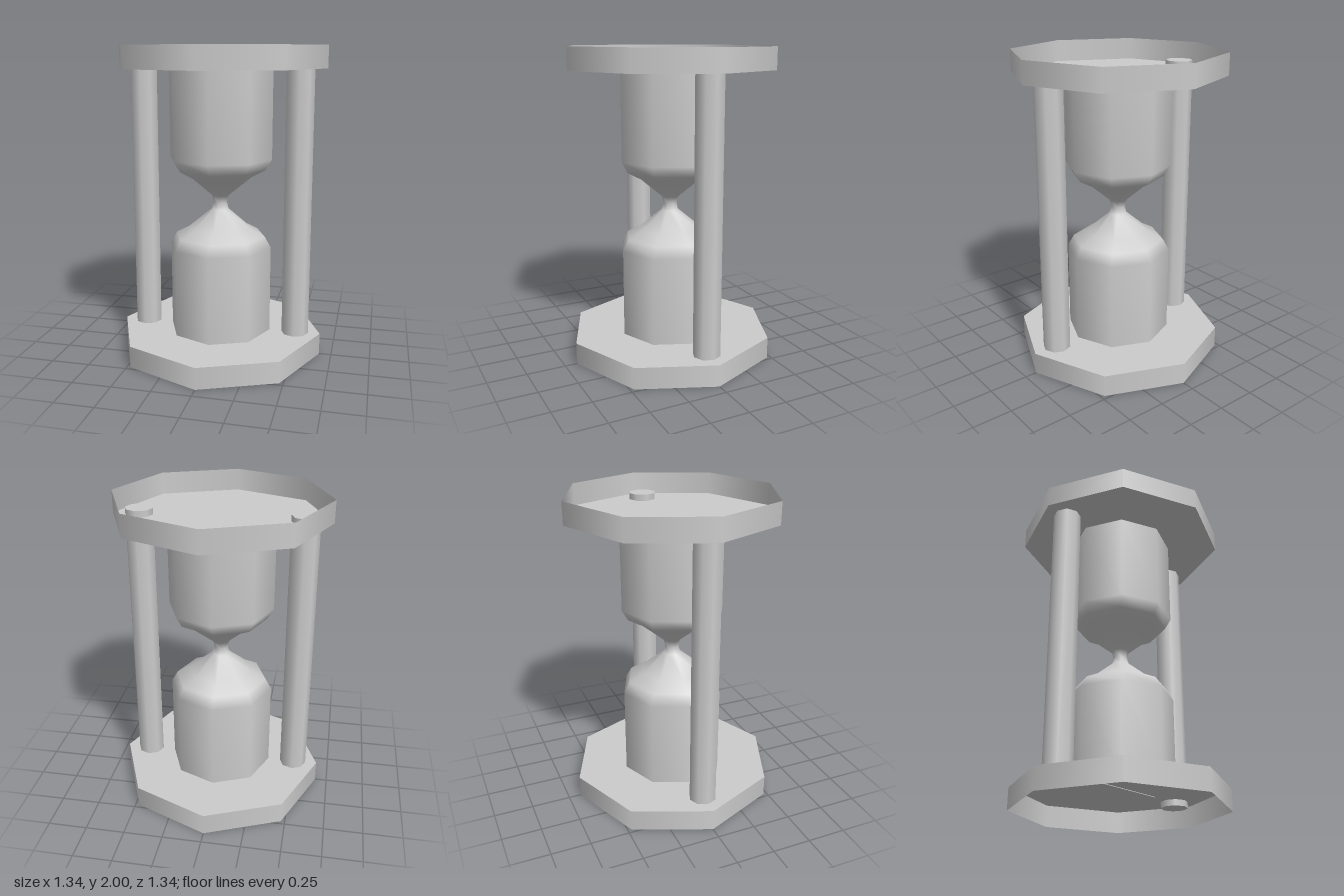
import * as THREE from 'three';

export function createModel() {
  const group = new THREE.Group();
  const material = new THREE.MeshStandardMaterial({ color: 0xcccccc });
  const thin = new THREE.MeshStandardMaterial({ color: 0xcccccc, side: THREE.DoubleSide });
  const SIDES = 8, R = 0.672, RIM = 0.14;

  const add = (parent, name, geometry, mat, x = 0, y = 0, z = 0) => {
    const mesh = new THREE.Mesh(geometry, mat);
    mesh.name = name;
    mesh.position.set(x, y, z);
    parent.add(mesh);
    return mesh;
  };

  // End trays: a thin octagonal sheet with a rim turned away from the glass
  for (const [name, rimY, sheetY] of [
    ['bottomTray', RIM / 2, RIM],
    ['topTray', 2 - RIM / 2, 2 - RIM],
  ]) {
    const tray = new THREE.Group();
    tray.name = name;
    add(tray, 'rim', new THREE.CylinderGeometry(R, R, RIM, SIDES, 1, true), thin, 0, rimY);
    add(tray, 'sheet', new THREE.CircleGeometry(R, SIDES), thin, 0, sheetY).rotation.x = -Math.PI / 2;
    group.add(tray);
  }

  // Two posts whose ends poke through the sheets
  for (const [name, side] of [['leftPost', 1], ['rightPost', -1]]) {
    add(group, name, new THREE.CylinderGeometry(0.088, 0.088, 1.8, SIDES), material, side * 0.507, 1);
  }

  // Glass: half profile mirrored about the neck
  const half = [[0.337, 0.14], [0.337, 0.71], [0.297, 0.78], [0.205, 0.83], [0.056, 0.955]];
  const profile = [
    ...half,
    [0.045, 1],
    ...half.map(([r, y]) => [r, 2 - y]).reverse(),
  ].map(([r, y]) => new THREE.Vector2(r, y));
  add(group, 'glass', new THREE.LatheGeometry(profile, SIDES), thin);

  // Flat core inside the glass, its foot just showing under the bottom sheet
  const inner = [[0.31, 0.136], [0.31, 0.7], [0.27, 0.77], [0.17, 0.82], [0.03, 0.95],
    [0.03, 1.05], [0.17, 1.18], [0.27, 1.23], [0.31, 1.3], [0.31, 1.85]];
  const outline = [...inner, ...inner.map(([x, y]) => [-x, y]).reverse()]
    .map(([x, y]) => new THREE.Vector2(x, y));
  const core = new THREE.ExtrudeGeometry(new THREE.Shape(outline), { depth: 0.012, bevelEnabled: false });
  add(group, 'core', core, material, 0, 0, -0.006);

  return group;
}
